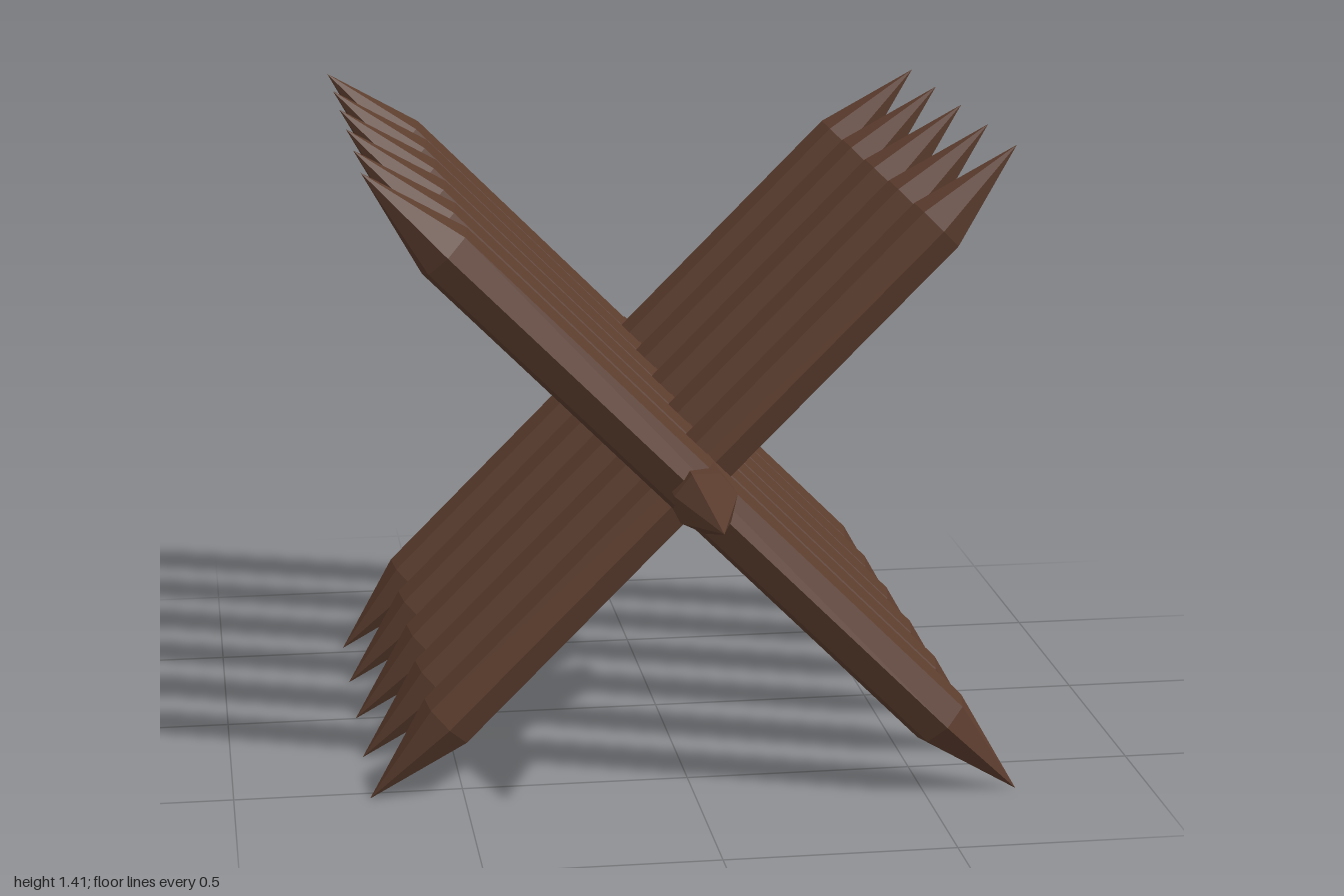
import * as THREE from 'three';

const RADIUS = 0.069, SIDES = 7, HALF_SHAFT = 0.755, HALF_LENGTH = 0.997;
const STAKES = 11, SPACING = 2 / 15, CENTRE_Y = 0.705;

export function createModel() {
  const wood = new THREE.MeshStandardMaterial({ color: 0x5c3d2e });
  wood.name = 'dark wood';
  wood.flatShading = true;

  const tipLength = HALF_LENGTH - HALF_SHAFT;
  const shaftGeometry = new THREE.CylinderGeometry(RADIUS, RADIUS, HALF_SHAFT * 2, SIDES, 1, true);
  const tipGeometry = new THREE.ConeGeometry(RADIUS, tipLength, SIDES, 1, true);

  // A log sharpened at both ends, lying along its own y axis
  function sharpenedLog(name) {
    const log = new THREE.Group();
    log.name = name;
    const shaft = new THREE.Mesh(shaftGeometry, wood);
    shaft.name = 'shaft';
    log.add(shaft);
    for (const end of [1, -1]) {
      const tip = new THREE.Mesh(tipGeometry, wood);
      tip.name = end > 0 ? 'upperTip' : 'lowerTip';
      tip.position.y = end * (HALF_SHAFT + tipLength / 2);
      if (end < 0) tip.rotation.z = Math.PI;
      log.add(tip);
    }
    return log;
  }

  const model = new THREE.Group();
  model.name = 'stakeBarricade';

  // Central beam running front to back
  const beam = sharpenedLog('centralBeam');
  beam.rotation.x = Math.PI / 2;
  beam.position.y = CENTRE_Y;
  model.add(beam);

  // Crossed stakes, leaning alternately to either side
  for (let i = 0; i < STAKES; i++) {
    const stake = sharpenedLog('stake' + (i + 1));
    stake.rotation.z = (i % 2 ? -1 : 1) * Math.PI / 4;
    stake.position.set(0, CENTRE_Y, (i - (STAKES - 1) / 2) * SPACING);
    model.add(stake);
  }
  return model;
}
